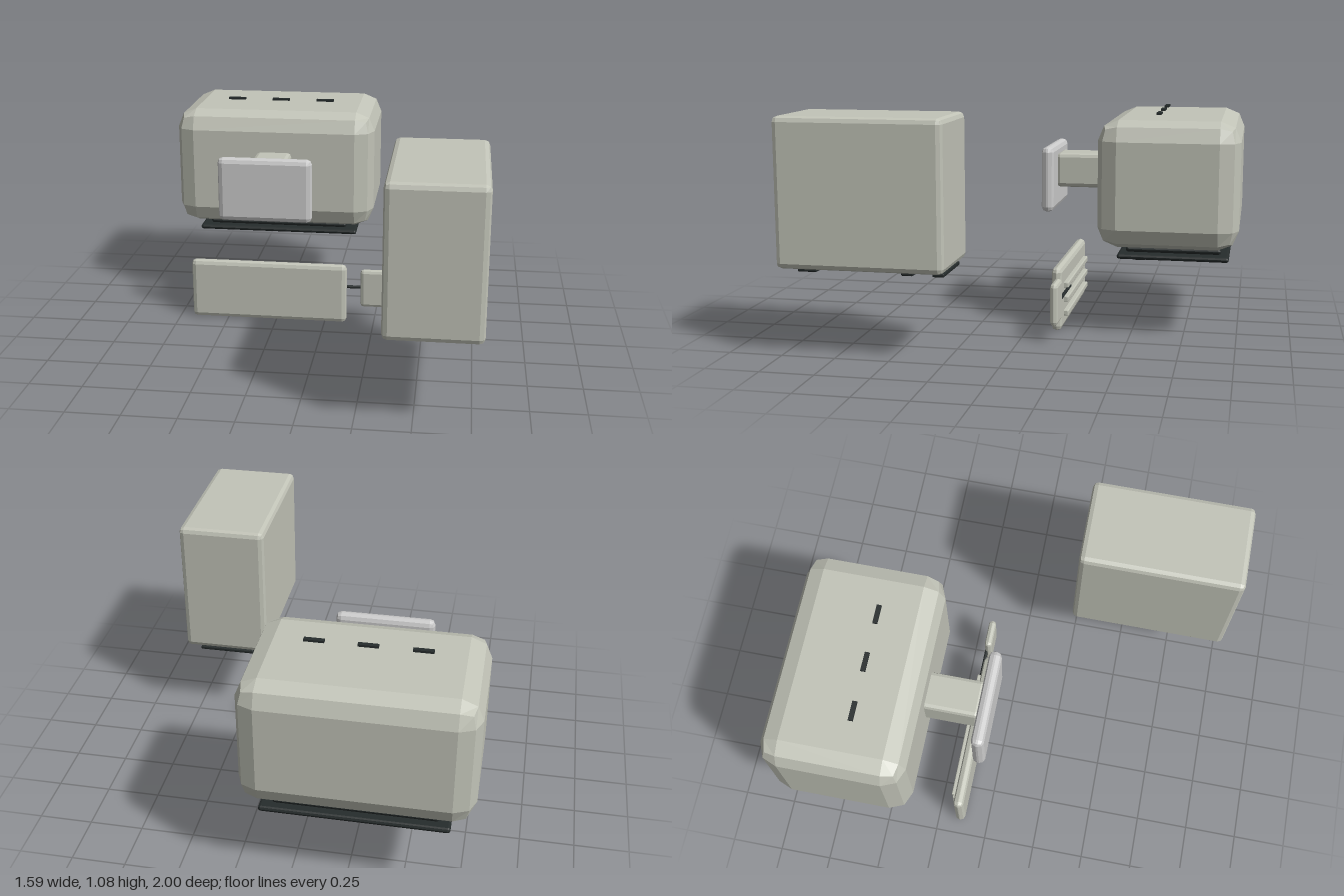
import * as THREE from 'three';
import { RoundedBoxGeometry } from 'three/addons/geometries/RoundedBoxGeometry.js';

const material = (color) => new THREE.MeshStandardMaterial({ color, flatShading: true });

export function createModel() {
  const model = new THREE.Group();
  const shell = material(0xc2c4b8);
  const screen = material(0xcccccc);
  const dark = material(0x262c2c);
  const accent = material(0x4f6f76);

  // Box given by its [min, max] range on each axis, with bevelled edges of radius r
  function block(name, [x0, x1], [y0, y1], [z0, z1], r, mat, parent = model) {
    const w = x1 - x0, h = y1 - y0, d = z1 - z0;
    const geometry = r > 0 ? new RoundedBoxGeometry(w, h, d, 1, r) : new THREE.BoxGeometry(w, h, d);
    const mesh = new THREE.Mesh(geometry, mat);
    mesh.name = name;
    mesh.position.set((x0 + x1) / 2, (y0 + y1) / 2, (z0 + z1) / 2);
    parent.add(mesh);
    return mesh;
  }

  function group(name) {
    const g = new THREE.Group();
    g.name = name;
    model.add(g);
    return g;
  }

  // Large housing with heavy chamfers
  const housing = group('housing');
  block('housingBody', [-0.8, 0.22], [0.43, 1.03], [-1, -0.34], 0.095, shell, housing);
  for (const x of [-0.52, -0.287, -0.055]) {
    block('topVent', [x - 0.045, x + 0.045], [1.045, 1.055], [-0.621, -0.599], 0, dark, housing);
  }

  // Stacked dark base plates and a small tab beneath
  block('upperBasePlate', [-0.65, 0.075], [0.397, 0.425], [-0.92, -0.47], 0.012, dark, housing);
  block('lowerBasePlate', [-0.70, 0.13], [0.372, 0.397], [-0.957, -0.433], 0.011, dark, housing);
  block('baseTab', [0.028, 0.078], [0.36, 0.374], [-0.565, -0.515], 0.005, dark, housing);

  // Panel on a neck in front of the housing
  const display = group('display');
  block('displayPanel', [-0.52, -0.055], [0.553, 0.873], [-0.095, -0.035], 0.025, screen, display);
  block('displayNeck', [-0.377, -0.197], [0.66, 0.83], [-0.36, -0.085], 0.02, shell, display);

  // Tall cabinet with pads on its underside
  const cabinet = group('cabinet');
  block('cabinetBody', [0.365, 0.79], [0.405, 1.08], [0.235, 1], 0.025, shell, cabinet);
  for (const z of [[0.835, 0.925], [0.39, 0.445], [0.25, 0.303]]) {
    block('cabinetPad', [0.44, 0.717], [0.382, 0.4], z, 0.005, dark, cabinet);
  }
  const button = new THREE.Mesh(new THREE.CylinderGeometry(0.013, 0.013, 0.016, 12), accent);
  button.name = 'undersideButton';
  button.position.set(0.57, 0.39, 0.757);
  cabinet.add(button);

  // Upright plate with ribs on its back
  const plate = group('lowerPlate');
  block('plateBody', [-0.685, 0.112], [0, 0.31], [-0.167, -0.117], 0.023, shell, plate);
  for (const y of [0.073, 0.143, 0.213]) {
    block('plateRib', [-0.61, 0.035], [y - 0.014, y + 0.014], [-0.19, -0.16], 0.005, shell, plate);
  }

  // Side paddle joined to the plate by a thin rod
  block('sidePaddle', [0.18, 0.325], [0.08, 0.28], [-0.184, -0.147], 0.017, shell, plate);
  const rod = new THREE.Mesh(new THREE.CylinderGeometry(0.008, 0.008, 0.3, 10), dark);
  rod.name = 'connectingRod';
  rod.rotation.z = Math.PI / 2;
  rod.position.set(0.05, 0.18, -0.175);
  plate.add(rod);

  return model;
}
